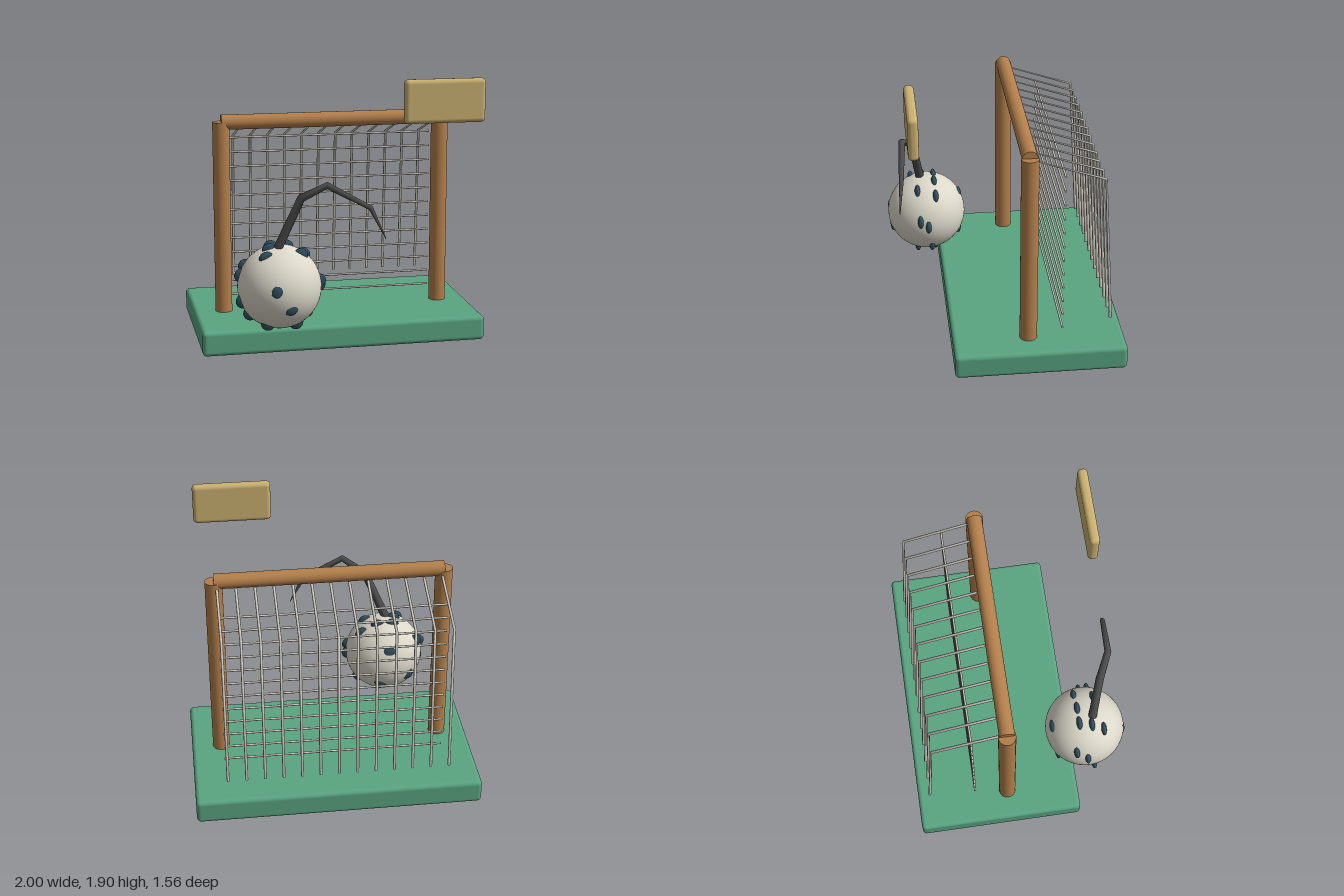
import * as THREE from 'three';
import { RoundedBoxGeometry } from 'three/addons/geometries/RoundedBoxGeometry.js';

const V = (x, y, z) => new THREE.Vector3(x, y, z);
const mat = (name, color) => {
  const m = new THREE.MeshStandardMaterial({ color });
  m.name = name;
  return m;
};

// Sweep mitred rings along a polyline; radii are [across, depth] for each point
function sweep(points, radii, side, sides = 8) {
  const pos = [], nor = [], idx = [];
  points.forEach((p, i) => {
    const before = points[Math.max(i - 1, 0)], after = points[Math.min(i + 1, points.length - 1)];
    const t = after.clone().sub(p).normalize().add(p.clone().sub(before).normalize()).normalize();
    const v = t.clone().cross(side).normalize();
    const u = v.clone().cross(t).normalize();
    for (let j = 0; j <= sides; j++) {
      const a = (j / sides) * Math.PI * 2;
      const c = Math.cos(a), s = Math.sin(a);
      pos.push(...p.clone().addScaledVector(u, c * radii[i][0]).addScaledVector(v, s * radii[i][1]).toArray());
      nor.push(...u.clone().multiplyScalar(c).addScaledVector(v, s).toArray());
      if (i && j) {
        const b = i * (sides + 1) + j, a0 = b - sides - 1;
        idx.push(a0 - 1, a0, b - 1, a0, b, b - 1);
      }
    }
  });
  const g = new THREE.BufferGeometry();
  g.setAttribute('position', new THREE.Float32BufferAttribute(pos, 3));
  g.setAttribute('normal', new THREE.Float32BufferAttribute(nor, 3));
  g.setIndex(idx);
  return g;
}

export function createModel() {
  const model = new THREE.Group();
  model.name = 'goalWithBall';
  const green = mat('baseGreen', 0x5aa582);
  const wood = mat('wood', 0xb37f4b);
  const tan = mat('signTan', 0xcbb171);
  const cord = mat('netCord', 0xd0ccc2);
  cord.side = THREE.DoubleSide;
  const cream = mat('ballCream', 0xdcd8ca);
  const slate = mat('spotSlate', 0x2f4d5c);
  const dark = mat('armGrey', 0x4c4c4c);
  dark.side = THREE.DoubleSide;

  const add = (name, geo, material, x = 0, y = 0, z = 0, parent = model) => {
    const m = new THREE.Mesh(geo, material);
    m.name = name;
    m.position.set(x, y, z);
    parent.add(m);
    return m;
  };

  // Base slab
  add('base', new RoundedBoxGeometry(2, 0.175, 1.18, 4, 0.03), green, 0, 0.0875, -0.19);

  // Goal frame
  for (const s of [-1, 1]) {
    add(s > 0 ? 'leftPost' : 'rightPost', new THREE.CylinderGeometry(0.06, 0.06, 1.38, 32), wood, s * 0.79, 0.85, -0.12);
  }
  add('crossbar', new THREE.CylinderGeometry(0.053, 0.053, 1.58, 32), wood, 0, 1.537, -0.12).rotation.z = Math.PI / 2;

  // Net: bent hanging cords and straight cross cords
  const net = new THREE.Group();
  net.name = 'net';
  model.add(net);
  const hanging = sweep(
    [V(0, 1.505, -0.175), V(0, 1.355, -0.625), V(0, 0.28, -0.69)],
    [[0.01, 0.003], [0.01, 0.009], [0.01, 0.011]], V(1, 0, 0));
  for (let i = 0; i < 13; i++) add('hangingCord', hanging, cord, (i - 6) * 0.1285, 0, 0, net);
  const cross = new THREE.CylinderGeometry(0.008, 0.008, 1.56, 8);
  for (let i = 0; i < 12; i++) {
    add('crossCord', cross, cord, 0, 0.225 + i * 0.1058, -0.357, net).rotation.z = Math.PI / 2;
  }

  // Ball with flattened spots half sunk into it
  const ball = new THREE.Group();
  ball.name = 'spottedBall';
  ball.position.set(-0.485, 0.505, 0.492);
  model.add(ball);
  add('ball', new THREE.SphereGeometry(0.285, 48, 32), cream, 0, 0, 0, ball);
  const spot = new THREE.SphereGeometry(1, 16, 12).scale(0.05, 0.05, 0.022);
  const spots = [
    [-0.007, 0.12, -0.24], [-0.215, 0.125, -0.095], [-0.05, 0.255, -0.057], [0.057, 0.255, -0.057],
    [0.175, 0.2, -0.062], [-0.253, -0.083, 0.035], [-0.071, 0.254, 0.029], [-0.103, 0.22, 0.11],
    [0.132, 0.22, 0.068], [0.265, 0, 0], [0.26, 0.04, 0.057], [-0.25, 0.08, -0.02],
    [0.19, -0.193, -0.027], [0.05, -0.125, -0.23], [0.04, -0.26, -0.06], [-0.095, -0.225, 0.11],
    [0.1, -0.24, 0.075], [-0.2, -0.18, 0], [-0.047, 0.025, 0.265], [0.033, -0.088, 0.25],
    [-0.14, -0.08, -0.21],
  ];
  for (const s of spots) {
    const p = V(...s).setLength(0.268);
    add('spot', spot, slate, p.x, p.y, p.z, ball);
  }

  // Tapering bent arm rising from the ball
  const arm = sweep(
    [V(-0.5, 0.78, 0.535), V(-0.35, 1.125, 0.59), V(-0.19, 1.22, 0.668), V(0.1, 1.06, 0.69), V(0.2, 0.85, 0.71)],
    [0.031, 0.029, 0.024, 0.017, 0.002].map((r) => [r, r]), V(0, 0, 1), 12);
  add('arm', arm, dark);

  // Floating plain sign
  add('sign', new RoundedBoxGeometry(0.555, 0.295, 0.07, 4, 0.03), tan, 0.6125, 1.7525, 0.63);

  return model;
}
